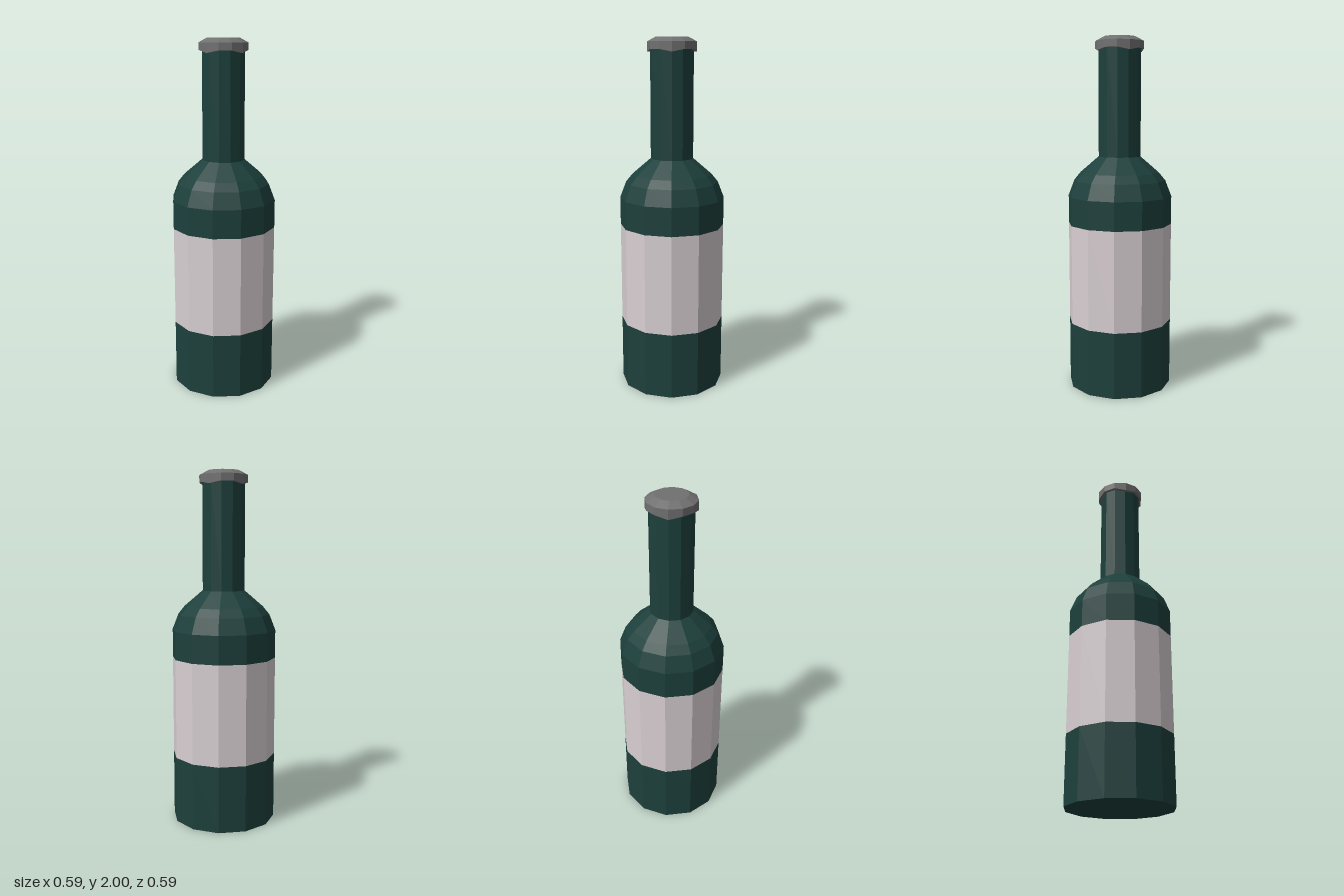
import * as THREE from 'three';

const SIDES = 12;

export function createModel() {
  const group = new THREE.Group();
  group.name = 'bottle';

  const material = (color) => new THREE.MeshStandardMaterial({ color, flatShading: true });
  const glass = material(0x1d403c);
  const paper = material(0xd8cfd2);
  const metal = material(0x707070);

  // Revolve a [radius, height] profile, listed from bottom to top
  const turned = (name, profile, mat) => {
    const points = profile.map(([r, y]) => new THREE.Vector2(r, y));
    const mesh = new THREE.Mesh(new THREE.LatheGeometry(points, SIDES), mat);
    mesh.name = name;
    group.add(mesh);
    return mesh;
  };

  // Glass below the label, with a closed base
  turned('lowerBody', [[0, 0], [0.297, 0], [0.297, 0.38]], glass);

  // Paper band flush with the glass
  turned('label', [[0.297, 0.38], [0.297, 0.95]], paper);

  // Glass above the label, rounding into the shoulder
  turned('shoulder', [[0.297, 0.95], [0.297, 1.11], [0.262, 1.2], [0.225, 1.245], [0.12, 1.335]], glass);

  // Straight neck
  turned('neck', [[0.12, 1.335], [0.12, 1.95]], glass);

  // Cap with a bevelled top and a gently scalloped lower rim
  const cap = turned('cap', [[0.118, 1.93], [0.137, 1.93], [0.137, 1.975], [0.09, 2], [0, 2]], metal);
  const position = cap.geometry.attributes.position;
  for (let i = 0; i < position.count; i++) {
    if (position.getY(i) > 1.94) continue;
    const angle = Math.atan2(position.getX(i), position.getZ(i));
    position.setY(i, 1.93 - 0.009 * Math.cos(4 * angle));
  }
  cap.geometry.computeVertexNormals();

  return group;
}
